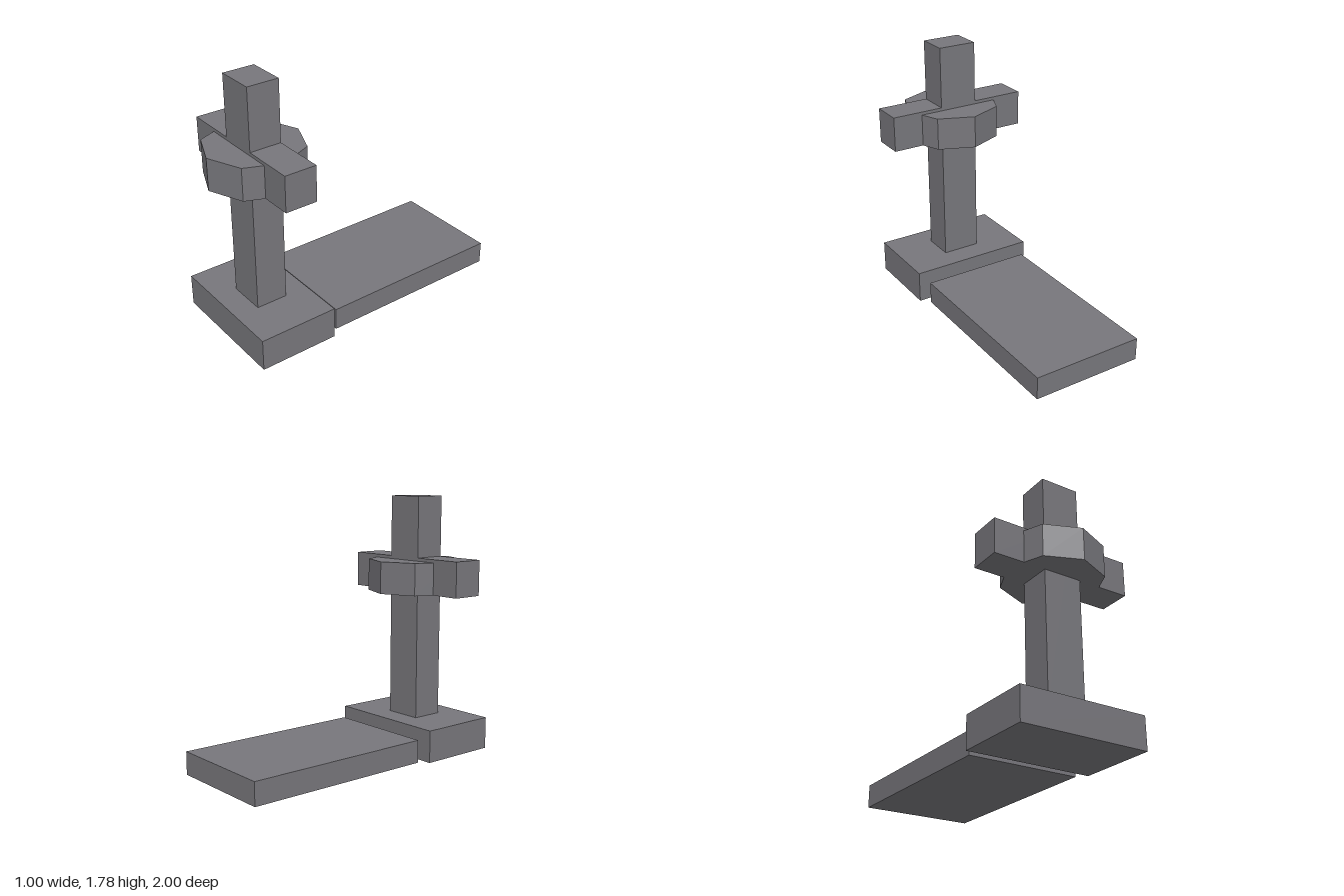
import * as THREE from 'three';

export function createModel() {
  const group = new THREE.Group();
  const stone = new THREE.MeshStandardMaterial({ color: 0x77767b });
  stone.name = 'grey stone';
  const crossZ = 0.667;

  function add(name, geometry, x, y, z) {
    const mesh = new THREE.Mesh(geometry, stone);
    mesh.name = name;
    mesh.position.set(x, y, z);
    group.add(mesh);
  }

  // Box placed by its bottom and top heights
  function block(name, width, bottom, top, depth, x, z) {
    add(name, new THREE.BoxGeometry(width, top - bottom, depth), x, (bottom + top) / 2, z);
  }

  // Ground slab and plinth
  block('graveSlab', 0.778, 0, 0.157, 1.333, 0, -0.3335);
  block('plinth', 0.89, 0, 0.223, 0.556, 0, crossZ);

  // Upright and the two arms of the cross
  block('upright', 0.268, 0.223, 1.778, 0.222, 0, crossZ);
  for (const side of [-1, 1]) {
    block(side > 0 ? 'leftArm' : 'rightArm', 0.366, 1.112, 1.356, 0.222, side * 0.317, crossZ);
  }

  // Flat eight-sided collar around the crossing, corners to front and back
  const collar = new THREE.CylinderGeometry(0.333, 0.333, 0.222, 8).toNonIndexed();
  collar.computeVertexNormals();
  add('collar', collar, 0, 1.223, crossZ);

  return group;
}
